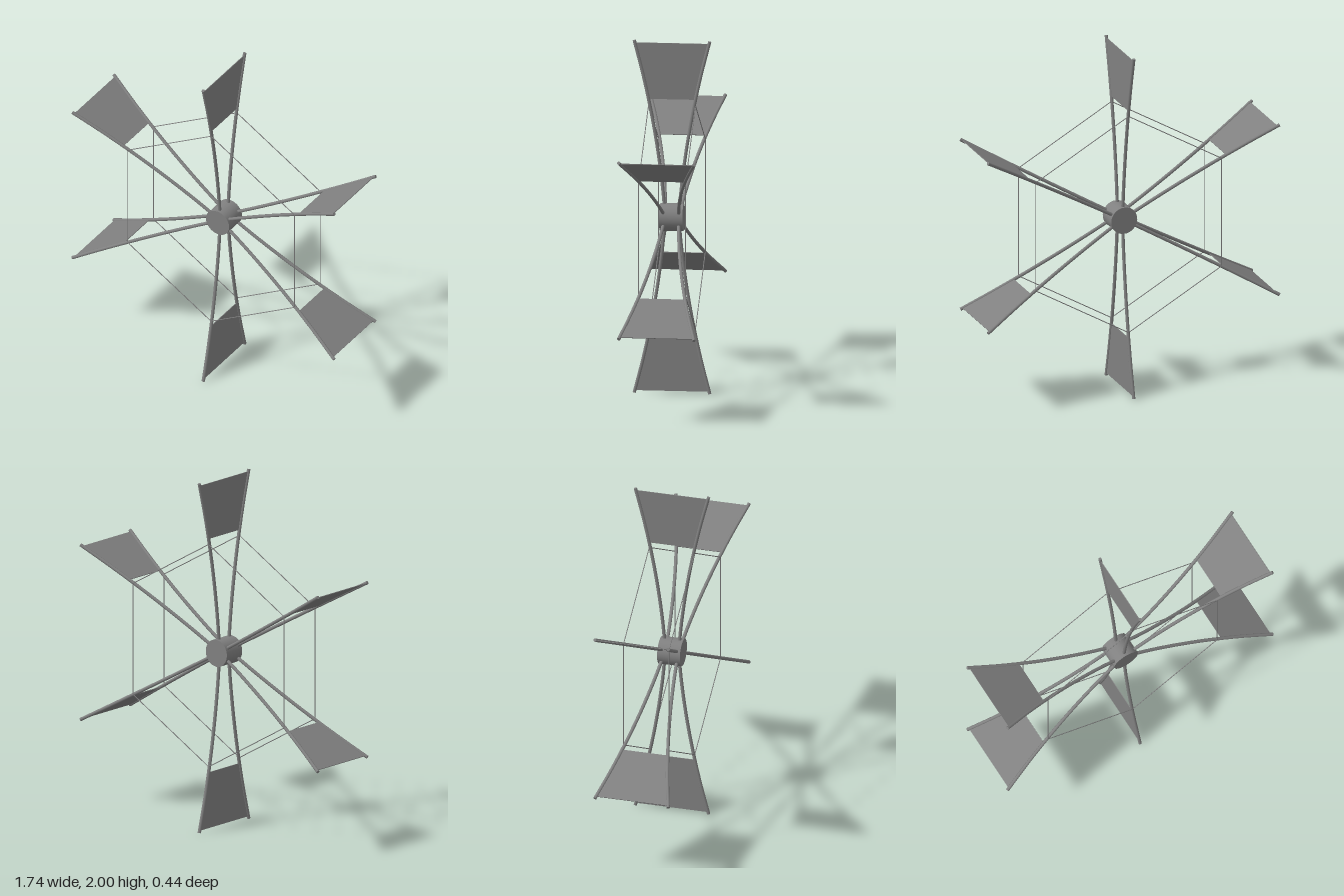
import * as THREE from 'three';

const ARMS = 6;
const HUB_Y = 1;
const WIRE_R = 0.635;
const SPAR_RADIUS = 0.0095;
const PANEL_IN = 0.667, PANEL_OUT = 0.985;

export function createModel() {
  const material = new THREE.MeshStandardMaterial({ color: 0x808080 });
  const model = new THREE.Group();
  model.name = 'paddleWheel';

  const add = (parent, name, geometry) => {
    const mesh = new THREE.Mesh(geometry, material);
    mesh.name = name;
    parent.add(mesh);
    return mesh;
  };

  const wheel = new THREE.Group();
  wheel.name = 'wheel';
  wheel.position.y = HUB_Y;
  model.add(wheel);

  // Hub drum, axis along z
  add(wheel, 'hub', new THREE.CylinderGeometry(0.077, 0.077, 0.13, 32).rotateX(Math.PI / 2));

  // Spars flare away from the centre plane as they run outward
  const flare = (r) => 0.037 + 0.073 * r + 0.1 * r * r;
  const sparCurve = (side) => new THREE.CatmullRomCurve3(
    [0.03, 0.2, 0.4, 0.6, 0.8, 0.9975].map((r) => new THREE.Vector3(0, r, side * flare(r))));

  // Paddle sheet whose side edges follow the spars
  const panelGeometry = new THREE.BoxGeometry(0.004, 1, 2, 1, 8, 1);
  const p = panelGeometry.attributes.position;
  for (let i = 0; i < p.count; i++) {
    const r = THREE.MathUtils.lerp(PANEL_IN, PANEL_OUT, p.getY(i) + 0.5);
    p.setY(i, r);
    p.setZ(i, p.getZ(i) * flare(r));
  }
  panelGeometry.computeVertexNormals();

  // Bracing wire from one arm to the next
  const wireGeometry = new THREE.CylinderGeometry(0.0025, 0.0025, WIRE_R, 8);
  const wireApothem = WIRE_R * Math.cos(Math.PI / ARMS);

  for (let i = 0; i < ARMS; i++) {
    const arm = new THREE.Group();
    arm.name = 'arm' + (i + 1);
    arm.rotation.z = (i * 2 * Math.PI) / ARMS;
    wheel.add(arm);
    add(arm, 'paddle', panelGeometry);

    for (const side of [1, -1]) {
      const curve = sparCurve(side);
      const label = side > 0 ? 'front' : 'back';
      add(arm, label + 'Spar', new THREE.TubeGeometry(curve, 24, SPAR_RADIUS, 10));

      // Flat outer end of the spar
      const cap = add(arm, label + 'SparEnd', new THREE.CircleGeometry(SPAR_RADIUS, 10));
      cap.position.copy(curve.getPoint(1));
      cap.quaternion.setFromUnitVectors(new THREE.Vector3(0, 0, 1), curve.getTangent(1));

      // Wire set halfway between this arm and its neighbour
      const mid = Math.PI / ARMS;
      const wire = add(arm, label + 'Wire', wireGeometry);
      wire.position.set(-Math.sin(mid) * wireApothem, Math.cos(mid) * wireApothem, side * 0.13);
      wire.rotation.z = mid + Math.PI / 2;
    }
  }
  return model;
}
